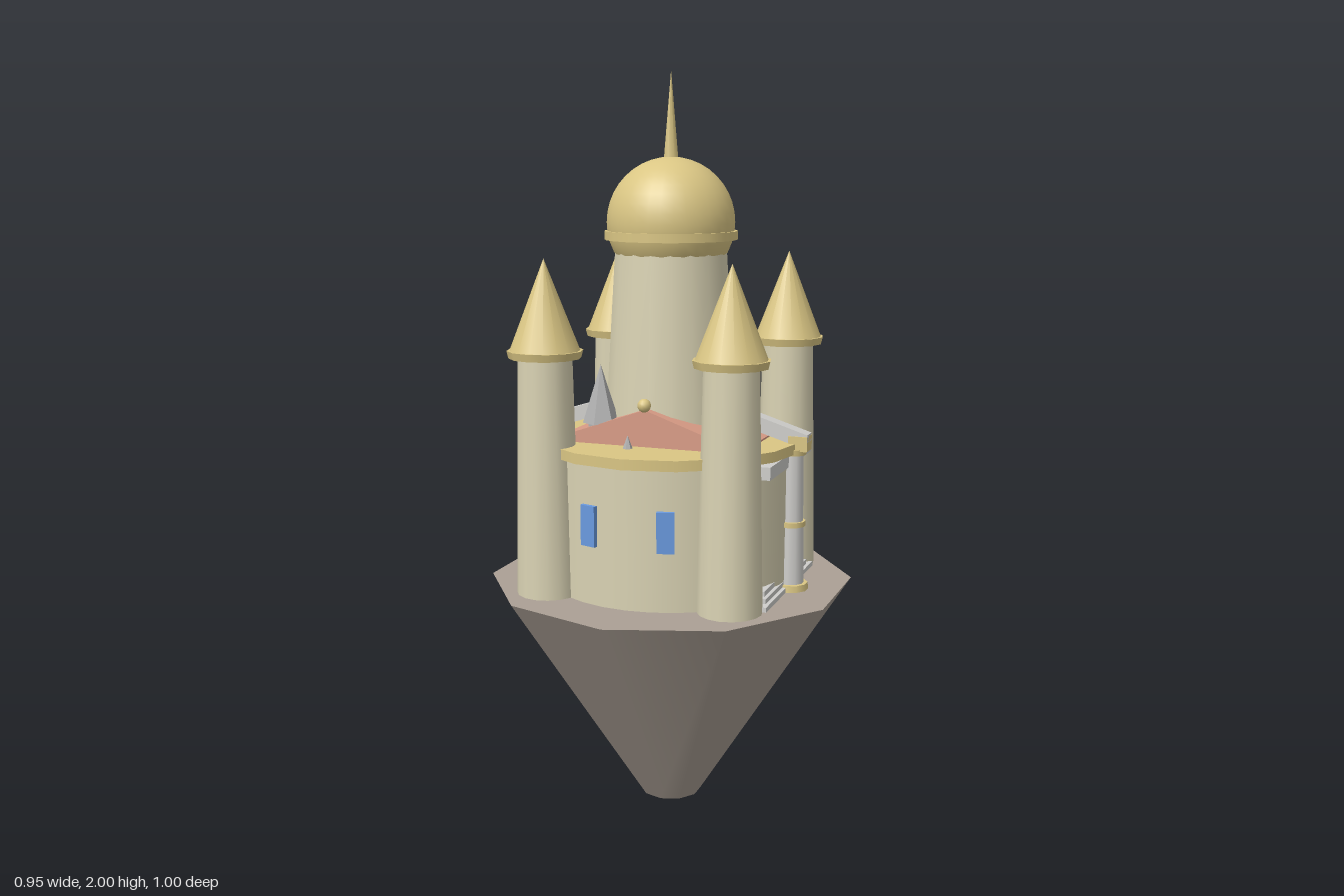
import * as THREE from 'three';

const mat = (name, color, flatShading = false) => {
  const m = new THREE.MeshStandardMaterial({ color, flatShading });
  m.name = name;
  return m;
};

export function createModel() {
  const root = new THREE.Group();
  root.name = 'floatingPalace';
  const rock = mat('rock', 0xaba095);
  const cream = mat('creamWall', 0xd9d2b3);
  const gold = mat('gold', 0xdac684);
  const tile = mat('roofTile', 0xd99c86, true);
  const stone = mat('paleStone', 0xcfcecb);
  const slate = mat('greyStone', 0xb0b0b0, true);
  const glass = mat('windowBlue', 0x6a9ae0);

  const add = (name, geo, material, x = 0, y = 0, z = 0, parent = root) => {
    const m = new THREE.Mesh(geo, material);
    m.name = name;
    m.position.set(x, y, z);
    parent.add(m);
    return m;
  };
  // Cylinder or cone given by its lower and upper heights
  const cyl = (name, rTop, rBot, y0, y1, sides, material, x = 0, z = 0, parent = root) =>
    add(name, new THREE.CylinderGeometry(rTop, rBot, y1 - y0, sides), material, x, (y0 + y1) / 2, z, parent);
  const box = (name, w, y0, y1, d, material, x = 0, z = 0, parent = root) =>
    add(name, new THREE.BoxGeometry(w, y1 - y0, d), material, x, (y0 + y1) / 2, z, parent);
  // Side profile in x and y, extruded along z and centred
  const prism = (name, points, depth, material, parent = root) => {
    const shape = new THREE.Shape(points.map(([x, y]) => new THREE.Vector2(x, y)));
    const geo = new THREE.ExtrudeGeometry(shape, { depth, bevelEnabled: false });
    geo.translate(0, 0, -depth / 2);
    return add(name, geo, material, 0, 0, 0, parent);
  };

  // Rock base
  cyl('rockBase', 0.5, 0.085, 0, 0.632, 10, rock);

  // Round hall with overhanging cornice
  cyl('hall', 0.338, 0.338, 0.632, 1.01, 32, cream);
  cyl('cornice', 0.363, 0.363, 1.007, 1.035, 16, gold);
  for (let i = 0; i < 10; i++) {
    const a = ((18 + 36 * i) * Math.PI) / 180;
    const w = add('window', new THREE.BoxGeometry(0.046, 0.108, 0.022), glass,
      Math.sin(a) * 0.337, 0.845, Math.cos(a) * 0.337);
    w.rotation.y = a;
  }

  // Side porches: lintel and steps
  box('lintel', 0.685, 0.972, 1.006, 0.4, stone);
  [[0.69, 0.46], [0.67, 0.4], [0.65, 0.36]].forEach(([w, d], i) =>
    box('step', w, 0.632 + i * 0.013, 0.645 + i * 0.013, d, stone));

  // Gabled roof with ridge balls
  prism('gableRoof', [[-0.265, 1.03], [0.265, 1.03], [0.265, 1.04], [0, 1.133], [-0.265, 1.04]], 0.4, tile);
  for (const s of [-1, 1])
    add('ridgeBall', new THREE.SphereGeometry(0.018, 12, 8), gold, 0, 1.145, 0.2 * s);

  // Central tower, dome and spire
  cyl('mainTower', 0.149, 0.183, 1.0, 1.56, 18, cream);
  add('dome', new THREE.SphereGeometry(0.171, 32, 20), gold, 0, 1.607, 0);
  cyl('domeBand', 0.178, 0.178, 1.562, 1.585, 20, gold);
  cyl('spire', 0, 0.021, 1.765, 2.0, 8, gold);

  // Four corner towers
  for (const sx of [-1, 1]) for (const sz of [-1, 1]) {
    const t = new THREE.Group();
    t.name = 'cornerTower';
    t.position.set(0.255 * sx, 0, 0.255 * sz);
    root.add(t);
    cyl('towerShaft', 0.071, 0.085, 0.632, 1.27, 16, cream, 0, 0, t);
    cyl('towerRim', 0.1, 0.095, 1.265, 1.285, 12, gold, 0, 0, t);
    cyl('towerRoof', 0, 0.092, 1.285, 1.522, 16, gold, 0, 0, t);
  }

  // Pillars with sloping buttresses on both sides
  for (const s of [0, 1]) {
    const b = new THREE.Group();
    b.name = 'buttress';
    b.rotation.y = s * Math.PI;
    root.add(b);
    cyl('pillarBase', 0.046, 0.048, 0.632, 0.65, 10, gold, 0.345, 0, b);
    cyl('lowerShaft', 0.032, 0.035, 0.65, 0.81, 10, stone, 0.345, 0, b);
    cyl('pillarRing', 0.038, 0.038, 0.808, 0.822, 10, gold, 0.345, 0, b);
    cyl('upperShaft', 0.029, 0.031, 0.822, 1.01, 10, stone, 0.345, 0, b);
    cyl('pillarCap', 0.038, 0.036, 1.003, 1.02, 10, gold, 0.345, 0, b);
    box('buttressBlock', 0.052, 1.015, 1.055, 0.05, gold, 0.364, 0, b);
    prism('buttressBeam', [[0.39, 1.04], [0.39, 1.06], [0.16, 1.132], [0.16, 1.09], [0.34, 1.035]], 0.044, stone, b);
  }

  // Small roof details: turret, block and stone finials
  cyl('turretBase', 0.034, 0.036, 1.03, 1.1, 6, slate, -0.14, 0.157);
  cyl('turretRoof', 0, 0.049, 1.085, 1.24, 6, slate, -0.14, 0.157);
  box('roofBlock', 0.035, 1.03, 1.095, 0.076, slate, -0.187, 0);
  for (const [x, y, z] of [[-0.22, 1.05, -0.065], [-0.035, 1.035, 0.23]])
    cyl('finial', 0, 0.013, y, y + 0.035, 6, slate, x, z);

  return root;
}
